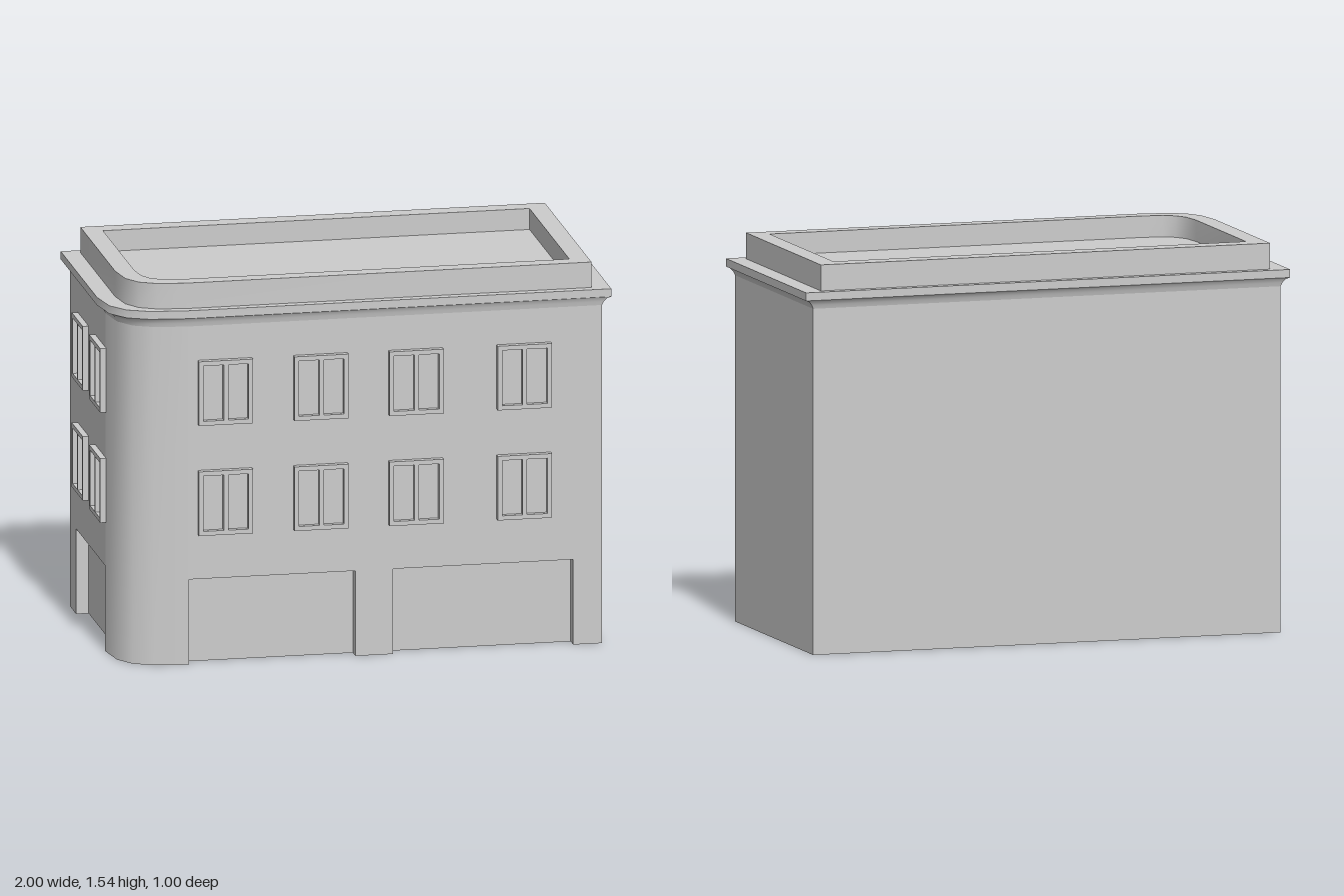
import * as THREE from 'three';
import { toCreasedNormals } from 'three/addons/utils/BufferGeometryUtils.js';

const material = new THREE.MeshStandardMaterial({ color: 0xcccccc, side: THREE.DoubleSide });
const X = 0.965, FRONT = 0.476, BACK = -0.484; // wall planes
const CX = -0.69, CZ = 0.215;                  // where the rounded corner begins
const WALL_TOP = 1.37;

function part(name, geometry, parent) {
  const mesh = new THREE.Mesh(geometry, material);
  mesh.name = name;
  parent.add(mesh);
  return mesh;
}

// Plan outline [x, z]: rounded front corner first, then the three square ones
function outline(x, front, back) {
  const corner = [[0, 0], [0.07, 0.5], [0.24, 0.78], [0.52, 0.93], [1, 1]]
    .map(([u, v]) => [-x + u * (CX + x), CZ + v * (front - CZ)]);
  return [...corner, [x, front], [x, back], [-x, back]];
}

// Surface through a stack of rings of [x, y, z] points
function loft(rings, closed) {
  const n = rings[0].length, index = [];
  for (let r = 0; r < rings.length - 1; r++) {
    for (let i = 0; i < (closed ? n : n - 1); i++) {
      const j = (i + 1) % n, a = r * n, b = a + n;
      index.push(a + i, a + j, b + j, a + i, b + j, b + i);
    }
  }
  const g = new THREE.BufferGeometry();
  g.setAttribute('position', new THREE.Float32BufferAttribute(rings.flat(2), 3));
  g.setIndex(index);
  g.computeVertexNormals();
  return toCreasedNormals(g, 0.65);
}

const ringAt = (plan, y) => plan.map(([x, z]) => [x, y, z]);

function rect(Type, x0, x1, y0, y1) {
  const p = new Type();
  p.moveTo(x0, y0);
  p.lineTo(x1, y0);
  p.lineTo(x1, y1);
  p.lineTo(x0, y1);
  p.closePath();
  return p;
}

const W = 0.108, H = 0.13, RIM = 0.018, MULLION = 0.009; // window half sizes

// Raised frame with two panes, centred on the origin
function makeWindow() {
  const group = new THREE.Group();
  group.name = 'window';
  const shape = rect(THREE.Shape, -W, W, -H, H);
  for (const [a, b] of [[-W + RIM, -MULLION], [MULLION, W - RIM]]) {
    shape.holes.push(rect(THREE.Path, a, b, -H + RIM, H - RIM));
  }
  part('windowFrame', new THREE.ExtrudeGeometry(shape, { depth: 0.024, bevelEnabled: false }), group);
  part('windowPanes', new THREE.PlaneGeometry(2 * (W - RIM), 2 * (H - RIM)), group).position.z = 0.003;
  return group;
}

// Flat wall with ground-floor recesses and two rows of windows
function makeFacade(name, x0, x1, recesses, windowXs) {
  const group = new THREE.Group();
  group.name = name;
  const h = 0.345, depth = 0.05;
  const shape = new THREE.Shape();
  shape.moveTo(x0, 0);
  for (const [a, b] of recesses) {
    shape.lineTo(a, 0);
    shape.lineTo(a, h);
    shape.lineTo(b, h);
    shape.lineTo(b, 0);
    // Reveal and set-back panel of the recess
    const edge = (z) => [[a, 0, z], [a, h, z], [b, h, z], [b, 0, z]];
    part('shopfrontReveal', loft([edge(-depth), edge(0)], false), group);
    part('shopfrontPanel', new THREE.PlaneGeometry(b - a, h), group).position.set((a + b) / 2, h / 2, -depth);
  }
  shape.lineTo(x1, 0);
  shape.lineTo(x1, WALL_TOP);
  shape.lineTo(x0, WALL_TOP);
  shape.closePath();

  for (const y of [0.655, 1.101]) {
    for (const x of windowXs) {
      shape.holes.push(rect(THREE.Path, x - W + RIM, x + W - RIM, y - H + RIM, y + H - RIM));
      const win = makeWindow();
      win.position.set(x, y, 0);
      group.add(win);
    }
  }
  part('facadeWall', new THREE.ShapeGeometry(shape), group);
  return group;
}

export function createModel() {
  const model = new THREE.Group();
  model.name = 'cornerBuilding';

  // Two street facades
  const front = makeFacade('frontFacade', CX, X, [[-0.685, -0.02], [0.13, 0.85]], [-0.542, -0.16, 0.22, 0.652]);
  front.position.z = FRONT;
  const side = makeFacade('sideFacade', BACK, CZ, [[-0.367, 0.205]], [-0.228, 0.117]);
  side.rotation.y = -Math.PI / 2;
  side.position.x = -X;
  model.add(front, side);

  // Rounded corner and the plain party walls
  const plan = outline(X, FRONT, BACK);
  const strip = (pts) => loft([ringAt(pts, 0), ringAt(pts, WALL_TOP)], false);
  part('roundedCorner', strip(plan.slice(0, 5)), model);
  part('plainWalls', strip(plan.slice(5)), model);

  // Cornice: flared moulding, fascia and top ledge
  const cornice = [
    [X, FRONT, BACK, WALL_TOP], [0.972, 0.479, -0.488, 1.385], [0.985, 0.484, -0.495, 1.4],
    [1, 0.488, -0.5, 1.405], [1, 0.488, -0.5, 1.437], [0.928, 0.453, -0.468, 1.437],
  ];
  const rings = (profile) => profile.map(([x, f, b, y]) => ringAt(outline(x, f, b), y));
  part('cornice', loft(rings(cornice), true), model);

  // Parapet: outer face, coping and inner face
  const parapet = [
    [0.928, 0.453, -0.468, 1.437], [0.928, 0.453, -0.468, 1.54],
    [0.852, 0.39, -0.395, 1.54], [0.852, 0.39, -0.395, 1.455],
  ];
  part('parapet', loft(rings(parapet), true), model);

  // Sunken roof deck
  const deck = new THREE.Shape(outline(0.852, 0.39, -0.395).map(([x, z]) => new THREE.Vector2(x, -z)));
  const roof = part('roofDeck', new THREE.ShapeGeometry(deck), model);
  roof.rotation.x = -Math.PI / 2;
  roof.position.y = 1.455;

  return model;
}
